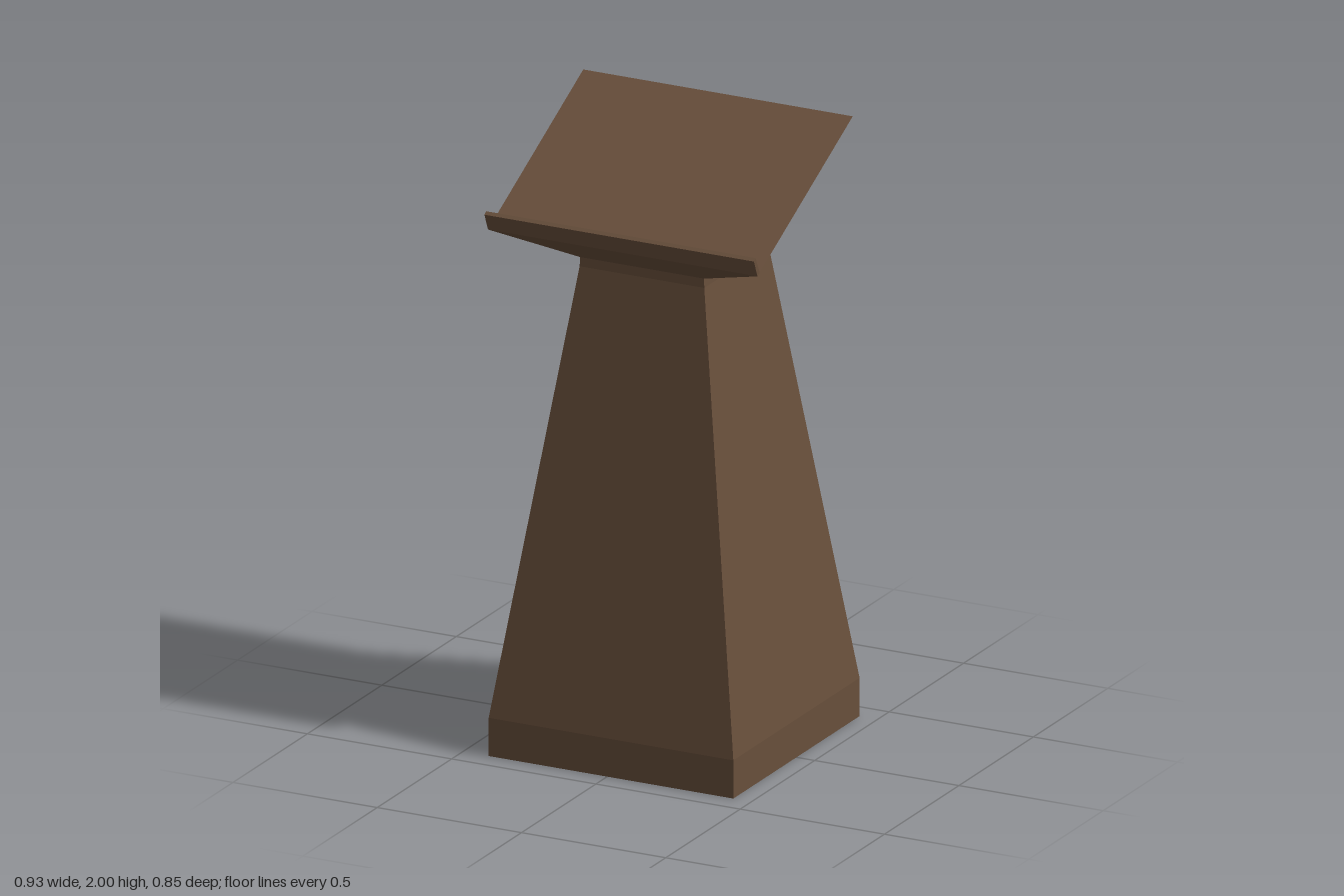
import * as THREE from 'three';

// Corners of a four-sided section: front-left, front-right, back-right, back-left.
function section(x0, x1, yFront, zFront, yBack, zBack) {
  return [[x0, yFront, zFront], [x1, yFront, zFront], [x1, yBack, zBack], [x0, yBack, zBack]]
    .map((p) => new THREE.Vector3(...p));
}

// Closed solid through a stack of sections, each quad shaded flat with one normal.
function loft(sections) {
  const positions = [];
  const normals = [];
  const quad = (a, b, c, d) => {
    const n = c.clone().sub(a).cross(d.clone().sub(b)).normalize();
    // Split along the shorter diagonal
    const corners = a.distanceTo(c) <= b.distanceTo(d) ? [a, b, c, a, c, d] : [a, b, d, b, c, d];
    for (const p of corners) {
      positions.push(p.x, p.y, p.z);
      normals.push(n.x, n.y, n.z);
    }
  };
  for (let s = 0; s < sections.length - 1; s++) {
    const lower = sections[s];
    const upper = sections[s + 1];
    for (let i = 0; i < 4; i++) {
      const j = (i + 1) % 4;
      quad(lower[i], lower[j], upper[j], upper[i]);
    }
  }
  quad(...[...sections[0]].reverse());
  quad(...sections[sections.length - 1]);
  const geometry = new THREE.BufferGeometry();
  geometry.setAttribute('position', new THREE.Float32BufferAttribute(positions, 3));
  geometry.setAttribute('normal', new THREE.Float32BufferAttribute(normals, 3));
  return geometry;
}

export function createModel() {
  const model = new THREE.Group();
  model.name = 'lectern';
  const wood = new THREE.MeshStandardMaterial({ color: 0x684f3b });
  wood.name = 'dark wood';

  const add = (name, sections) => {
    const mesh = new THREE.Mesh(loft(sections), wood);
    mesh.name = name;
    model.add(mesh);
  };

  // Square plinth and tapered column, slightly off centre under the desk
  const square = (y, half) => section(0.013 - half, 0.013 + half, y, half, y, -half);
  add('pedestal', [square(0, 0.424), square(0.125, 0.424), square(1.57, 0.216), square(1.6, 0.215)]);

  // Flared head with a sloping reading surface
  add('readingDesk', [
    square(1.6, 0.215),
    section(-0.467, 0.467, 1.68, 0.32, 2, -0.32),
  ]);

  // Thin ledge along the low front edge, square to the slope
  add('bookLedge', [
    section(-0.467, 0.467, 1.68, 0.32, 1.688, 0.305),
    section(-0.467, 0.467, 1.736, 0.344, 1.744, 0.333),
  ]);

  return model;
}
